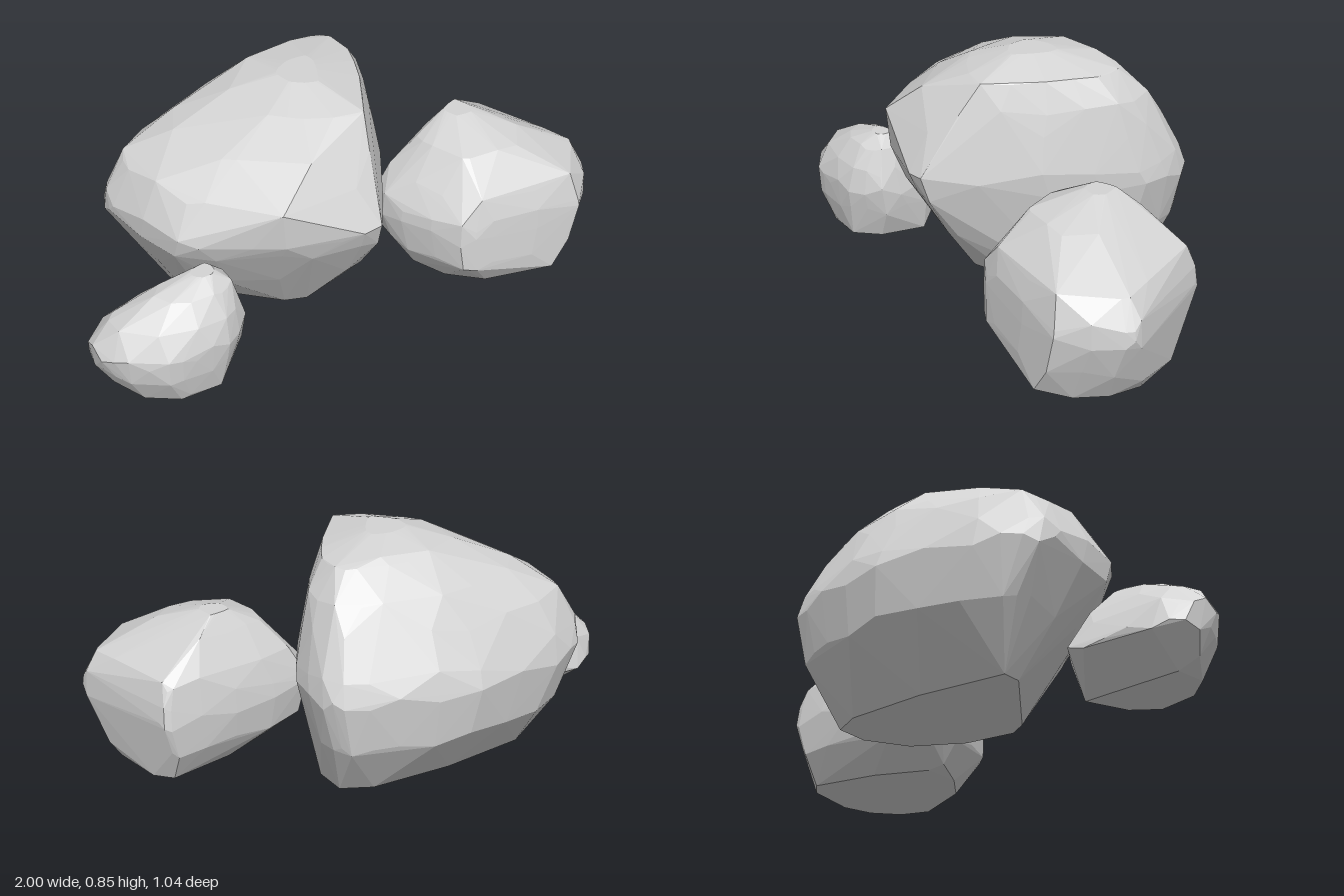
import * as THREE from 'three';
import { ConvexGeometry } from 'three/addons/geometries/ConvexGeometry.js';

const stone = new THREE.MeshStandardMaterial({ color: 0xd4d4d4 });
stone.name = 'light stone grey';

// A faceted boulder: one plan outline (x, z), slightly rounded, is fitted into
// the extents of each level. The hull of the levels, the footprint on the
// ground and a few crest points gives the facets.
function boulder(name, { outline, levels, footprint, crests }) {
  const guides = outline.map(([x, z]) => new THREE.Vector3(x, 0, z));
  const curve = new THREE.CatmullRomCurve3(guides, true, 'catmullrom', 0.3);
  const plan = curve.getPoints(guides.length * 2).slice(1);
  const box = new THREE.Box3().setFromPoints(plan);
  const top = levels[levels.length - 1].y;
  const { mapLinear } = THREE.MathUtils;

  const points = levels.flatMap(({ y, x, z }) => plan.map((p, i) => new THREE.Vector3(
    mapLinear(p.x, box.min.x, box.max.x, x[0], x[1]),
    // a slight wobble breaks up the level bands
    y + 0.02 * Math.sin(i * 2.3 + y * 40) * Math.sin(Math.PI * y / top),
    mapLinear(p.z, box.min.z, box.max.z, z[0], z[1]),
  )));
  for (const [x, z] of footprint) points.push(new THREE.Vector3(x, 0, z));
  for (const crest of crests) points.push(new THREE.Vector3(...crest));
  const mesh = new THREE.Mesh(new ConvexGeometry(points), stone);
  mesh.name = name;
  return mesh;
}

// Large boulder: steep cut face toward +x, sharp front corner, undercut front
const large = {
  outline: [
    [0.3, -0.27], [0.2, 0.08], [0.01, 0.475], [-0.13, 0.465], [-0.33, 0.43],
    [-0.53, 0.32], [-0.65, 0.24], [-0.77, -0.08], [-0.75, -0.2], [-0.63, -0.32],
    [-0.3, -0.49], [0, -0.525], [0.19, -0.515], [0.25, -0.46],
  ],
  levels: [
    { y: 0.22, x: [-0.68, 0.26], z: [-0.5, 0.33] },
    { y: 0.4, x: [-0.77, 0.305], z: [-0.525, 0.445] },
    { y: 0.47, x: [-0.765, 0.3], z: [-0.5, 0.475] },
    { y: 0.6, x: [-0.7, 0.27], z: [-0.43, 0.4] },
    { y: 0.7, x: [-0.53, 0.24], z: [-0.375, 0.33] },
    { y: 0.8, x: [-0.31, 0.18], z: [-0.28, 0.25] },
    { y: 0.85, x: [-0.15, 0], z: [-0.1, 0.07] },
  ],
  footprint: [
    [0.21, -0.22], [0.17, -0.05], [0.03, 0.1], [-0.14, 0.18], [-0.22, 0.16],
    [-0.53, -0.08], [-0.55, -0.15], [-0.25, -0.28], [0.05, -0.36], [0.17, -0.34],
  ],
  crests: [[-0.34, 0.61, 0.43], [-0.2, 0.73, 0.35], [0, 0.825, -0.25], [-0.18, 0.82, -0.22]],
};

// Medium boulder: pointed toward -x, straight steep back and +x wall
const medium = {
  outline: [
    [0.22, 0.03], [0.5, -0.12], [0.74, -0.205], [0.78, -0.18], [0.88, 0],
    [0.99, 0.17], [0.99, 0.23], [0.86, 0.42], [0.5, 0.43], [0.38, 0.41], [0.25, 0.2],
  ],
  levels: [
    { y: 0.12, x: [0.23, 0.945], z: [-0.18, 0.435] },
    { y: 0.24, x: [0.2, 0.995], z: [-0.2, 0.43] },
    { y: 0.3, x: [0.205, 0.99], z: [-0.19, 0.425] },
    { y: 0.38, x: [0.265, 0.94], z: [-0.175, 0.4] },
    { y: 0.5, x: [0.36, 0.72], z: [-0.065, 0.28] },
    { y: 0.565, x: [0.48, 0.58], z: [0, 0.1] },
  ],
  footprint: [
    [0.34, 0.14], [0.5, 0], [0.72, -0.12], [0.79, -0.08], [0.88, 0.1],
    [0.88, 0.22], [0.83, 0.33], [0.74, 0.4], [0.5, 0.37], [0.38, 0.28],
  ],
  crests: [[0.3, 0.02, 0.18], [0.92, 0.05, 0.12], [0.75, 0.02, 0.43]],
};

// Small boulder: long sloping back, steep front, highest beside the large one
const small = {
  outline: [
    [-1, 0.24], [-0.99, 0.36], [-0.92, 0.45], [-0.8, 0.52], [-0.7, 0.515],
    [-0.57, 0.49], [-0.47, 0.38], [-0.48, 0.2], [-0.58, 0.07], [-0.74, 0.1], [-0.92, 0.16],
  ],
  levels: [
    { y: 0.12, x: [-0.99, -0.48], z: [0.08, 0.515] },
    { y: 0.2, x: [-1, -0.47], z: [0.13, 0.52] },
    { y: 0.28, x: [-0.93, -0.485], z: [0.19, 0.49] },
    { y: 0.36, x: [-0.78, -0.51], z: [0.26, 0.43] },
    { y: 0.405, x: [-0.64, -0.56], z: [0.3, 0.37] },
  ],
  footprint: [
    [-0.88, 0.3], [-0.86, 0.42], [-0.75, 0.48], [-0.6, 0.47], [-0.53, 0.38], [-0.51, 0.21],
  ],
  crests: [[-0.94, 0.04, 0.34], [-0.51, 0.03, 0.3], [-0.72, 0.02, 0.49]],
};

export function createModel() {
  const group = new THREE.Group();
  group.name = 'boulders';
  group.add(
    boulder('largeBoulder', large),
    boulder('mediumBoulder', medium),
    boulder('smallBoulder', small),
  );
  return group;
}
